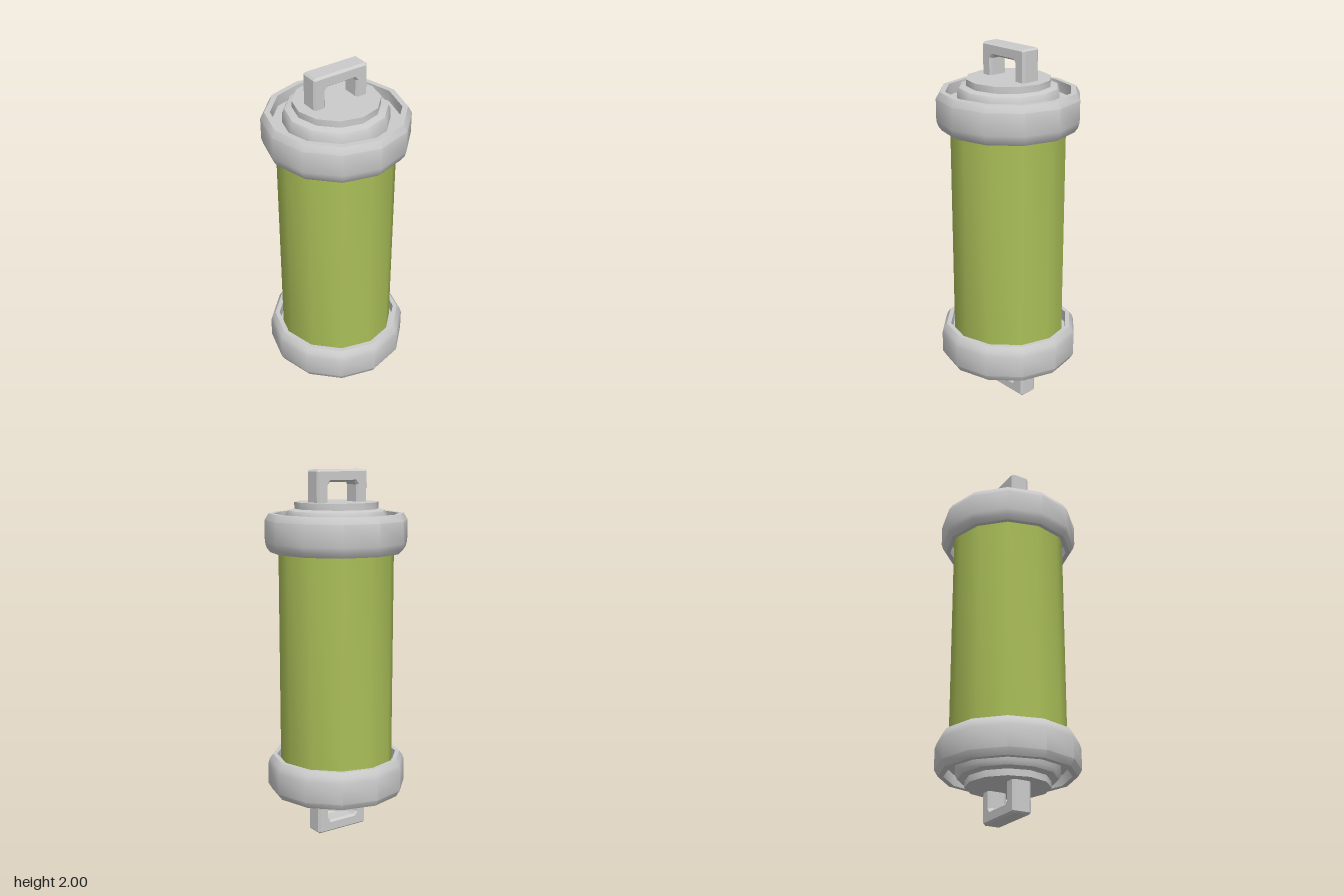
import * as THREE from 'three';
import { toCreasedNormals } from 'three/addons/utils/BufferGeometryUtils.js';

const SIDES = 12;
const grey = new THREE.MeshStandardMaterial({ color: 0xcccccc });
const green = new THREE.MeshStandardMaterial({ color: 0xaabf58 });

// Turned part: profile of [radius, y] pairs running up the outside
function turned(name, profile, material) {
  const points = profile.map(([r, y]) => new THREE.Vector2(r, y));
  const geometry = toCreasedNormals(new THREE.LatheGeometry(points, SIDES), 0.68);
  const mesh = new THREE.Mesh(geometry, material);
  mesh.name = name;
  return mesh;
}

// Square loop handle with chamfered edges
function makeHandle() {
  const outline = [
    [-0.16, 1.8], [-0.092, 1.8], [-0.092, 1.92], [-0.08, 1.935],
    [0.08, 1.935], [0.092, 1.92], [0.092, 1.8], [0.16, 1.8],
    [0.16, 1.99], [0.15, 2.0], [-0.15, 2.0], [-0.16, 1.99],
  ].map(([x, y]) => new THREE.Vector2(x, y));
  const geometry = new THREE.ExtrudeGeometry(new THREE.Shape(outline), {
    depth: 0.082, bevelThickness: 0.013, bevelSize: 0.01, bevelOffset: -0.01, bevelSegments: 1,
  });
  geometry.translate(0, 0, -0.05);
  const mesh = new THREE.Mesh(geometry, grey);
  mesh.name = 'handle';
  return mesh;
}

// Upper end fitting: collar, recessed stepped cap and handle
function makeEnd(name) {
  const end = new THREE.Group();
  end.name = name;
  end.add(turned('collar', [
    [0.333, 1.71], [0.333, 1.565], [0.357, 1.565], [0.375, 1.59], [0.384, 1.62],
    [0.384, 1.735], [0.363, 1.77], [0.334, 1.77], [0.334, 1.7],
  ], grey));
  end.add(turned('steppedCap', [
    [0, 1.63], [0.334, 1.63], [0.334, 1.71], [0.275, 1.71], [0.273, 1.765],
    [0.262, 1.786], [0.225, 1.795], [0.225, 1.83], [0, 1.83],
  ], grey));
  end.add(makeHandle());
  return end;
}

export function createModel() {
  const model = new THREE.Group();
  model.name = 'canister';

  // Coloured tube between the two fittings
  model.add(turned('body', [[0, 0.34], [0.312, 0.34], [0.312, 1.66], [0, 1.66]], green));

  // The lower fitting is the upper one turned about the centre
  model.add(makeEnd('upperEnd'));
  const lower = makeEnd('lowerEnd');
  lower.rotation.z = Math.PI;
  lower.position.y = 2;
  model.add(lower);
  return model;
}
